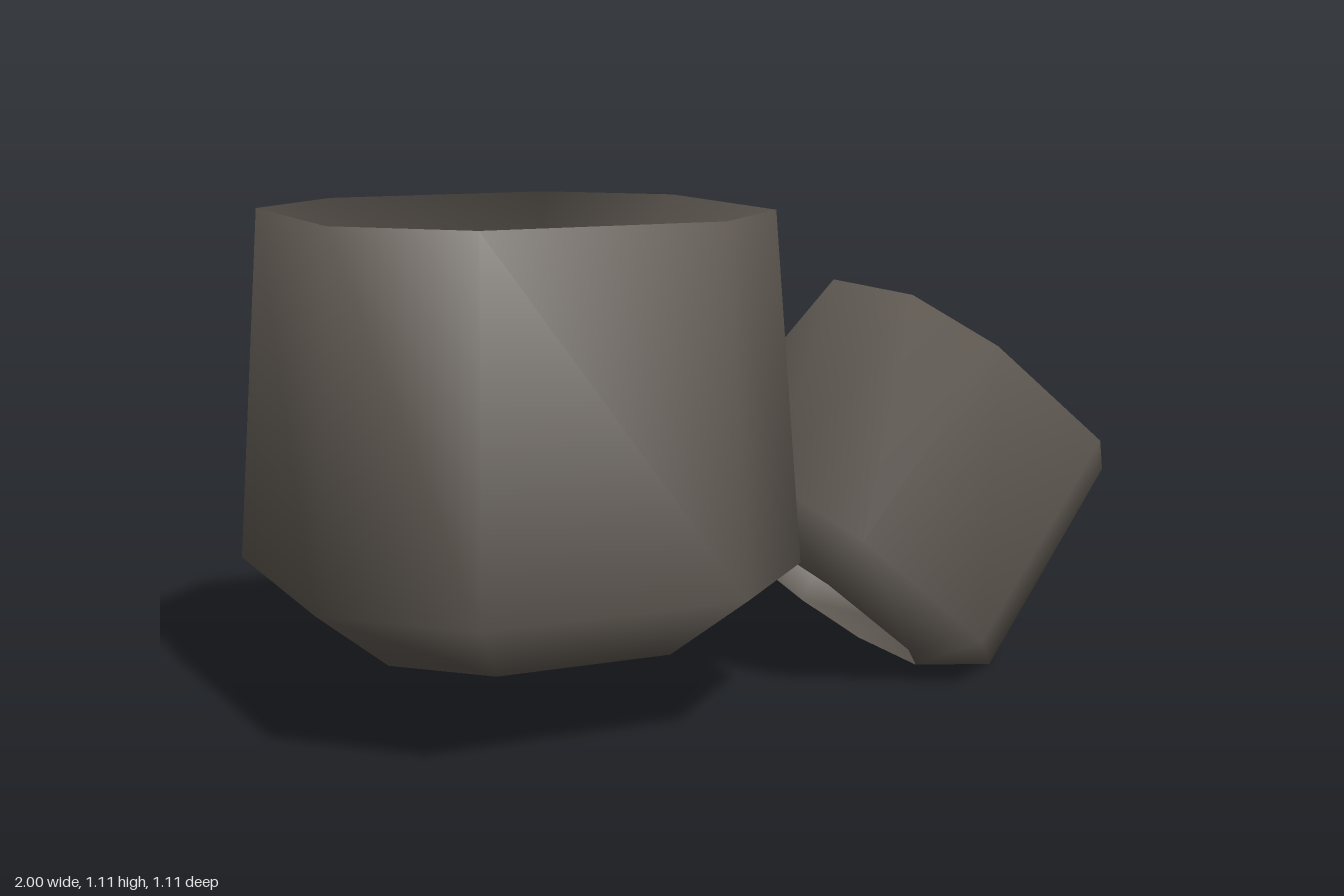
import * as THREE from 'three';

// Chamfered-square (eight-sided) loop of given half width at height y
function ring(half, y) {
  const f = half * 0.53;
  return [
    [half, -f], [half, f], [f, half], [-f, half],
    [-half, f], [-half, -f], [-f, -half], [f, -half],
  ].map(([x, z]) => [x, y, z]);
}

// Pot: funnel-shaped hollow, flared sides, bevelled foot left open underneath
function potGeometry() {
  const rings = [ring(0.505, 0.937), ring(0.557, 0.15), ring(0.375, 0)];
  const hollowBottom = [0, 0.337, 0];
  const centre = rings.length * 8;
  const index = [];
  for (let i = 0; i < 8; i++) {
    const j = (i + 1) % 8;
    // Outer side and bevel
    for (let r = 0; r < rings.length - 1; r++) {
      const u = r * 8, l = u + 8;
      index.push(u + i, u + j, l + i, u + j, l + j, l + i);
    }
    // Hollow, sloping from the rim to its lowest point
    index.push(centre, j, i);
  }
  const geo = new THREE.BufferGeometry();
  geo.setAttribute('position',
    new THREE.Float32BufferAttribute([...rings.flat(2), ...hollowBottom], 3));
  geo.setIndex(index);
  geo.computeVertexNormals();
  return geo;
}

export function createModel() {
  const group = new THREE.Group();
  const clay = new THREE.MeshStandardMaterial({ color: 0x5d5750, side: THREE.DoubleSide });
  clay.name = 'darkClay';
  const geo = potGeometry();

  // Upright pot
  const large = new THREE.Mesh(geo, clay);
  large.name = 'largePot';
  large.position.set(-0.445, 0.175, 0);
  group.add(large);

  // Smaller copy tipped over against it
  const small = new THREE.Mesh(geo, clay);
  small.name = 'tippedPot';
  small.scale.setScalar(0.7);
  small.rotation.z = -0.693;
  small.position.set(0.309, 0.168, 0);
  group.add(small);

  return group;
}
